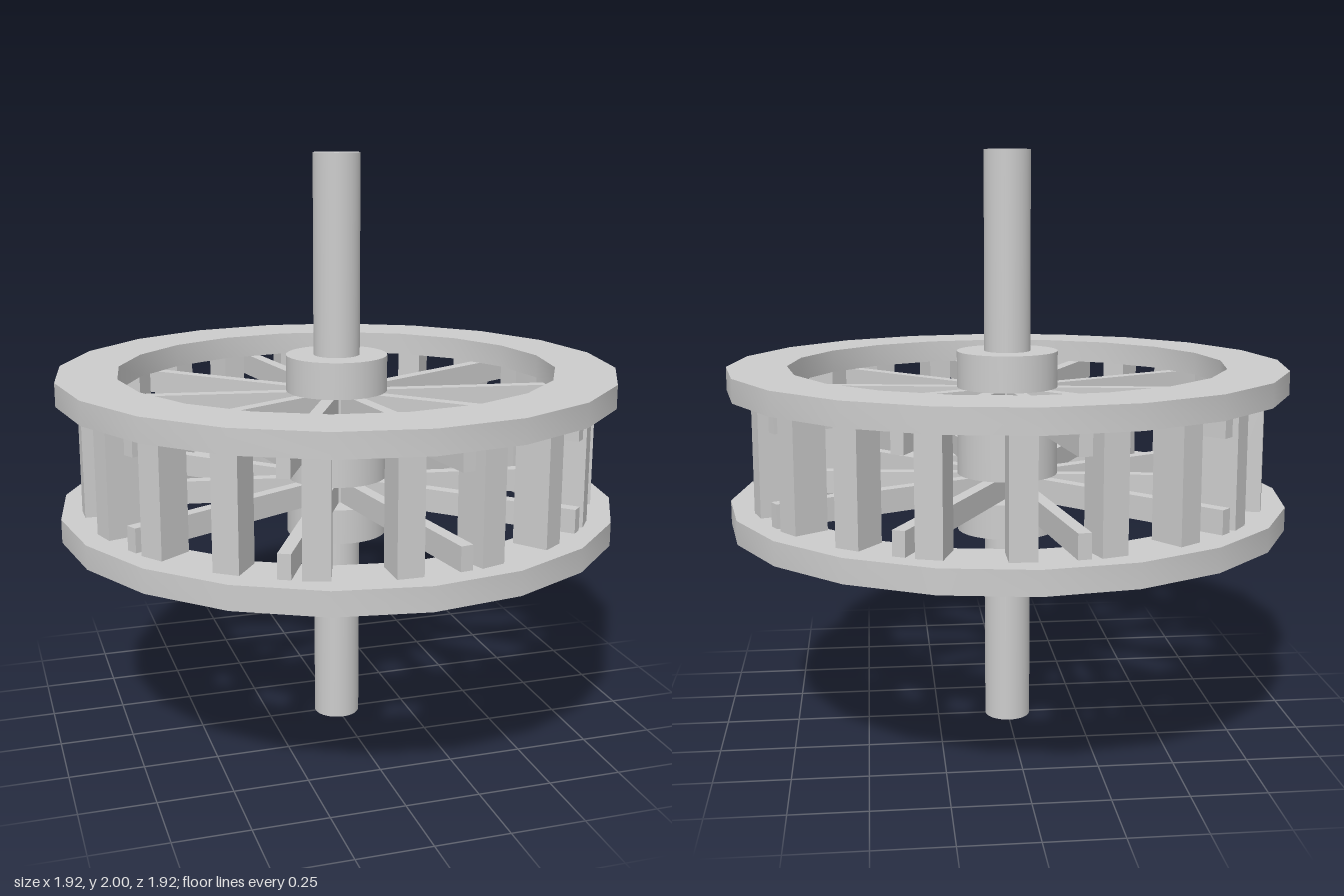
import * as THREE from 'three';
import { toCreasedNormals } from 'three/addons/utils/BufferGeometryUtils.js';

const material = new THREE.MeshStandardMaterial({ color: 0xcccccc });

// Points of a 20-sided polygon with the given half widths
function polygon(rx, rz, sides = 20) {
  return Array.from({ length: sides }, (_, i) => {
    const a = (i / sides) * Math.PI * 2;
    return new THREE.Vector2(Math.cos(a) * rx, Math.sin(a) * rz);
  });
}

export function createModel() {
  const model = new THREE.Group();

  const add = (name, geometry, y = 0, angle = 0) => {
    const mesh = new THREE.Mesh(geometry, material);
    mesh.name = name;
    mesh.position.y = y;
    mesh.rotation.y = -angle;
    model.add(mesh);
  };
  const drum = (name, radius, y0, y1) =>
    add(name, new THREE.CylinderGeometry(radius, radius, y1 - y0, 32), (y0 + y1) / 2);

  // Central shaft and the three hub blocks that clamp the spokes
  drum('axle', 0.08, 0, 2);
  drum('lowerHub', 0.175, 0.69, 0.81);
  drum('middleHub', 0.175, 0.89, 1.115);
  drum('upperHub', 0.175, 1.195, 1.32);

  // Two flat polygonal rims
  const ring = new THREE.Shape(polygon(0.96, 0.96));
  ring.holes.push(new THREE.Path(polygon(0.755, 0.738)));
  const rim = toCreasedNormals(
    new THREE.ExtrudeGeometry(ring, { depth: 0.08, bevelEnabled: false }).rotateX(-Math.PI / 2),
    Math.PI / 6
  );
  add('lowerRim', rim, 0.73);
  add('upperRim', rim, 1.195);

  // Ten spokes per rim, lying against the rims' inner faces
  const spoke = new THREE.BoxGeometry(0.84, 0.08, 0.042).translate(0.46, 0, 0);
  for (let i = 0; i < 10; i++) {
    const angle = THREE.MathUtils.degToRad(9 + 36 * i);
    add('lowerSpoke', spoke, 0.85, angle);
    add('upperSpoke', spoke, 1.155, angle);
  }

  // Twenty upright staves between the rims, one side on the radial line
  const stave = new THREE.BoxGeometry(0.12, 0.385, 0.085).translate(0.82, 0, 0.0425);
  for (let i = 0; i < 20; i++) {
    add('stave', stave, 1.0025, (i / 20) * Math.PI * 2);
  }

  return model;
}
